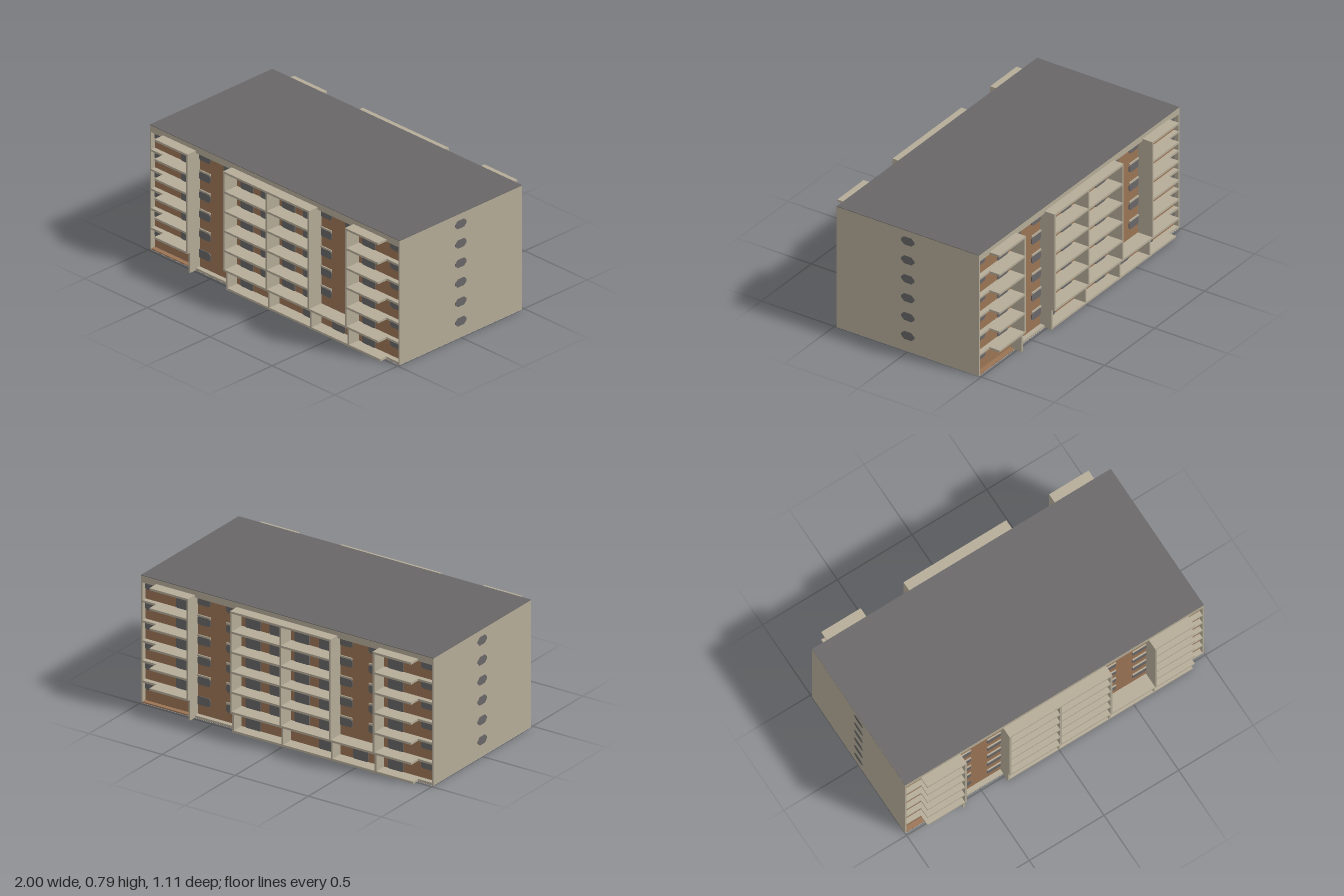
import * as THREE from 'three';

const mat = (name, color) => {
  const m = new THREE.MeshStandardMaterial({ color });
  m.name = name;
  return m;
};

export function createModel() {
  const concrete = mat('beigeConcrete', 0xb4ab97);
  const brick = mat('brownBrick', 0x9a7455);
  const grey = mat('darkGrey', 0x686666);
  const pale = mat('paleGrey', 0xd2d2d2);

  const FLOORS = 6, STEP = 0.1235;
  const FACE = 0.485, WALL = 0.455, OUT = 0.553, GROUND_OUT = 0.533;
  const slabTop = (i) => 0.016 + i * 0.124;

  // Box given by its minimum and maximum in x, y and z
  function box(parent, name, material, [x0, x1], [y0, y1], [z0, z1]) {
    const mesh = new THREE.Mesh(new THREE.BoxGeometry(x1 - x0, y1 - y0, z1 - z0), material);
    mesh.position.set((x0 + x1) / 2, (y0 + y1) / 2, (z0 + z1) / 2);
    mesh.name = name;
    parent.add(mesh);
  }

  // Solid made by extruding an outline of [x, y] points
  function extrude(points, depth) {
    const shape = new THREE.Shape(points.map(([x, y]) => new THREE.Vector2(x, y)));
    return new THREE.ExtrudeGeometry(shape, { depth, bevelEnabled: false });
  }

  // Balcony slab: x0..x1 inside the recess, p0..p1 projecting in front of it
  function slab(parent, name, top, [x0, x1], [p0, p1], out) {
    const geo = extrude([[x0, WALL], [x1, WALL], [x1, FACE], [p1, FACE],
      [p1, out], [p0, out], [p0, FACE], [x0, FACE]], 0.013);
    geo.rotateX(Math.PI / 2);
    const mesh = new THREE.Mesh(geo, concrete);
    mesh.position.y = top;
    mesh.name = name;
    parent.add(mesh);
  }

  // Thin window plate facing +z, half sizes w and h, corners cut by cx and cy
  function pane(parent, name, x, y, w, h, cx, cy) {
    const geo = extrude([[-w, cy - h], [cx - w, -h], [w - cx, -h], [w, cy - h],
      [w, h - cy], [w - cx, h], [cx - w, h], [-w, h - cy]], 0.006);
    const mesh = new THREE.Mesh(geo, grey);
    mesh.position.set(x, y, WALL - 0.001);
    mesh.name = name;
    parent.add(mesh);
    return mesh;
  }

  function facade() {
    const g = new THREE.Group();
    g.name = 'facade';

    // Top band over the recessed wall
    box(g, 'topBand', concrete, [-0.99, 0.99], [0.745, 0.787], [WALL - 0.01, FACE]);

    // Vertical fins, shallower at ground level
    for (const x of [-0.637, -0.338, 0, 0.338, 0.637]) {
      const xs = [x - 0.006, x + 0.006];
      box(g, 'fin', concrete, xs, [0.129, 0.76], [WALL, OUT]);
      box(g, 'finFoot', concrete, xs, [0.001, 0.129], [WALL, GROUND_OUT]);
    }

    // Balcony slabs
    for (let i = 1; i <= FLOORS; i++) {
      const y = slabTop(i);
      slab(g, 'outerBalcony', y, [-0.99, -0.638], [-0.895, -0.638], OUT);
      slab(g, 'middleBalcony', y, [-0.338, 0.338], [-0.338, 0.338], OUT);
      slab(g, 'outerBalcony', y, [0.638, 0.99], [0.638, 0.895], OUT);
    }
    slab(g, 'entranceCanopy', slabTop(1), [0.338, 0.638], [0.338, 0.638], OUT);
    slab(g, 'groundTerrace', slabTop(0), [-0.338, 0.99], [-0.338, 0.895], GROUND_OUT);
    box(g, 'plinth', concrete, [-0.638, -0.338], [0.003, 0.016], [WALL, FACE]);

    for (let f = 0; f < FLOORS; f++) {
      // Small windows beside the balconies
      const mid = 0.102 + f * STEP;
      for (const x of [-0.945, -0.588, -0.388, 0.383, 0.585, 0.945]) {
        if (f === 0 && [-0.588, 0.383, 0.585].includes(x)) continue;
        pane(g, 'window', x, mid, 0.046, 0.025, 0.012, 0.01);
        if (f < FLOORS - 1 && Math.abs(x) < 0.9)
          box(g, 'lintel', concrete, [x - 0.045, x + 0.045], [mid + 0.025, mid + 0.036], [WALL, WALL + 0.007]);
      }
      // Balcony doors
      const low = slabTop(f), high = slabTop(f + 1) - 0.013;
      for (const x of [-0.725, -0.25, -0.088, 0.083, 0.25, 0.725]) {
        if (f === 0 && [-0.725, -0.088, 0.083].includes(x)) continue;
        pane(g, 'balconyDoor', x, (low + high) / 2, 0.051, (high - low) / 2, 0.005, 0.008);
      }
    }

    // Ground floor openings
    pane(g, 'wideWindow', -0.64, 0.102, 0.1, 0.026, 0.014, 0.012);
    pane(g, 'wideWindow', 0, 0.102, 0.098, 0.026, 0.014, 0.012);
    pane(g, 'entranceDoor', 0.484, 0.072, 0.052, 0.056, 0.008, 0.01);
    return g;
  }

  const model = new THREE.Group();
  model.name = 'apartmentBlock';

  // Building body
  box(model, 'brickCore', brick, [-0.99, 0.99], [0.006, 0.78], [-WALL, WALL]);
  box(model, 'brickFooting', brick, [-0.99, 0.99], [0.001, 0.008], [-FACE + 0.001, FACE - 0.001]);
  box(model, 'underside', pale, [-1, 1], [0, 0.001], [-FACE, FACE]);
  box(model, 'roof', grey, [-1, 1], [0.787, 0.79], [-FACE, FACE]);

  for (const s of [-1, 1]) {
    // End walls with a stack of stair windows
    box(model, 'endWall', concrete, s < 0 ? [-1, -0.99] : [0.99, 1], [0.001, 0.787], [-FACE, FACE]);
    for (let f = 0; f < FLOORS; f++) {
      const win = pane(model, 'stairWindow', s * 0.995, 0.103 + f * STEP, 0.045, 0.026, 0.02, 0.019);
      win.position.z = 0;
      win.rotation.y = s * Math.PI / 2;
    }
  }

  // The back repeats the front, turned half way round
  const front = facade();
  front.name = 'frontFacade';
  const back = facade();
  back.name = 'backFacade';
  back.rotation.y = Math.PI;
  model.add(front, back);
  return model;
}
